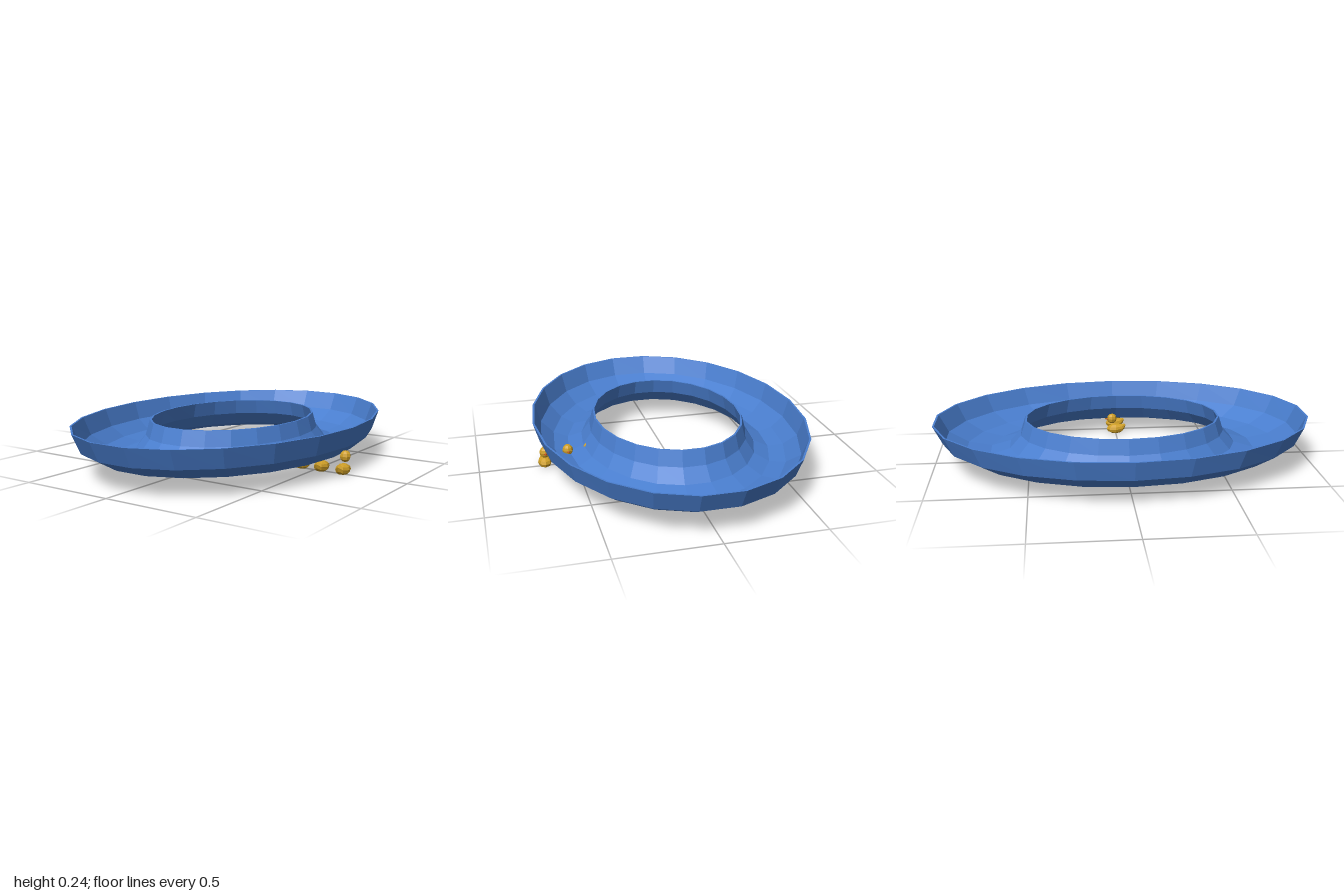
import * as THREE from 'three';

const blue = new THREE.MeshStandardMaterial({ color: 0x4a7fd0, flatShading: true });
const yellow = new THREE.MeshStandardMaterial({ color: 0xd0a028, flatShading: true });
const orange = new THREE.MeshStandardMaterial({ color: 0xc8501e, flatShading: true });

function part(name, geometry, material) {
  const mesh = new THREE.Mesh(geometry, material);
  mesh.name = name;
  return mesh;
}

// Sweep a closed cross-section round an oval; each point is [x radius, z radius, y]
function ovalSweep(section, sides) {
  const pos = [], index = [], n = section.length;
  for (let i = 0; i < sides; i++) {
    const a = (i / sides) * Math.PI * 2;
    for (const [rx, rz, y] of section) pos.push(rx * Math.cos(a), y, rz * Math.sin(a));
  }
  for (let i = 0; i < sides; i++) {
    for (let j = 0; j < n; j++) {
      const i2 = (i + 1) % sides, j2 = (j + 1) % n;
      const a = i * n + j, b = i2 * n + j, c = i2 * n + j2, d = i * n + j2;
      index.push(a, b, d, b, c, d);
    }
  }
  const g = new THREE.BufferGeometry();
  g.setAttribute('position', new THREE.Float32BufferAttribute(pos, 3));
  g.setIndex(index);
  const flat = g.toNonIndexed();
  flat.computeVertexNormals();
  return flat;
}

// Thin-walled ring trough: underside from outer to inner rim, then back along the top
function makeTrough() {
  const under = [
    [0.71, 1.0, 0.24], [0.68, 0.95, 0.14], [0.61, 0.84, 0.08], [0.53, 0.71, 0.06],
    [0.45, 0.60, 0.09], [0.40, 0.535, 0.16], [0.38, 0.51, 0.24],
  ];
  const top = [
    [0.39, 0.52, 0.24], [0.41, 0.545, 0.163], [0.455, 0.605, 0.098], [0.53, 0.71, 0.068],
    [0.605, 0.835, 0.088], [0.671, 0.941, 0.145], [0.70, 0.99, 0.24],
  ];
  return part('trough', ovalSweep([...under, ...top], 22), blue);
}

// Duck facing -z
function makeDuck() {
  const duck = new THREE.Group();

  // Body: flat base, raised pointed tail, narrowing towards the neck
  const body = new THREE.SphereGeometry(1, 8, 6);
  const p = body.attributes.position;
  for (let i = 0; i < p.count; i++) {
    const x = p.getX(i), y = p.getY(i), z = p.getZ(i);
    const tail = Math.max(0, z);
    const width = 0.036 * (1 - 0.3 * tail * tail);
    const h = Math.max(0, 0.024 + 0.03 * y - 0.004 * tail) + 0.025 * tail ** 3;
    p.setXYZ(i, x * width, h, z * (z > 0 ? 0.06 : 0.052));
  }
  body.computeVertexNormals();
  duck.add(part('body', body, yellow));

  const head = part('head', new THREE.SphereGeometry(0.03, 8, 6), yellow);
  head.scale.set(0.93, 1, 0.93);
  head.position.set(0, 0.087, -0.022);
  duck.add(head);

  const beak = part('beak', new THREE.ConeGeometry(0.012, 0.022, 6).rotateX(-Math.PI / 2), orange);
  beak.scale.set(1, 0.6, 1);
  beak.position.set(0, 0.085, -0.051);
  duck.add(beak);
  return duck;
}

export function createModel() {
  const model = new THREE.Group();
  model.name = 'duckPond';
  model.add(makeTrough());
  [0.43, 0.54, 0.66].forEach((x, i) => {
    const duck = makeDuck();
    duck.name = 'duck' + (i + 1);
    duck.position.x = x;
    model.add(duck);
  });
  return model;
}
